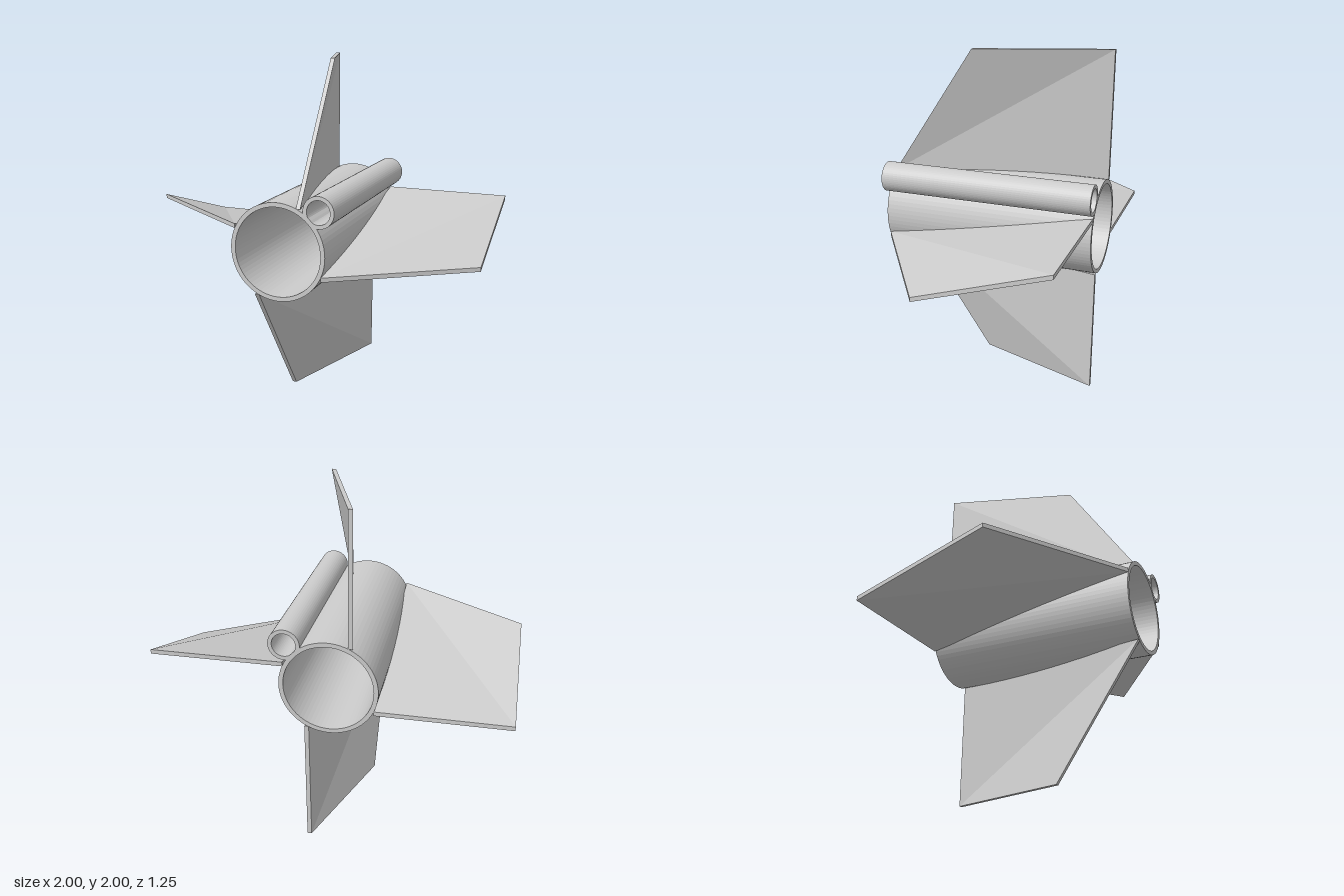
import * as THREE from 'three';

const material = new THREE.MeshStandardMaterial({ color: 0xcccccc, flatShading: true });
const HALF = 0.625; // half length of the body along z

// Open pipe with wall thickness, running along z
function makePipe(name, outer, inner, x, y, segments) {
  const profile = [[outer, -HALF], [outer, HALF], [inner, HALF], [inner, -HALF], [outer, -HALF]];
  const geometry = new THREE.LatheGeometry(profile.map(([r, h]) => new THREE.Vector2(r, h)), segments);
  geometry.rotateX(Math.PI / 2);
  const pipe = new THREE.Mesh(geometry, material);
  pipe.name = name;
  pipe.position.set(x, y, 0);
  return pipe;
}

// Slanted, slightly twisted fin plate pointing up from the tube axis
function makeFinGeometry() {
  const thickness = 0.025;
  // x, y, z of: root rear, tip rear, tip front, root front
  const corners = [
    [-0.137, 0.25, -HALF],
    [-0.137, 1, -HALF],
    [0.112, 1, 0.125],
    [0.112, 0.25, HALF],
  ];
  const positions = [];
  for (const offset of [thickness, 0]) {
    for (const [x, y, z] of corners) positions.push(x + offset, y, z);
  }
  // Both faces fold along the line from tip rear to root front
  const index = [0, 1, 3, 1, 2, 3, 4, 7, 5, 5, 7, 6];
  for (let i = 0; i < 4; i++) {
    const j = (i + 1) % 4;
    index.push(j, i, i + 4, j, i + 4, j + 4); // rim
  }
  const indexed = new THREE.BufferGeometry();
  indexed.setAttribute('position', new THREE.Float32BufferAttribute(positions, 3));
  indexed.setIndex(index);
  const geometry = indexed.toNonIndexed();
  geometry.computeVertexNormals();
  return geometry;
}

export function createModel() {
  const model = new THREE.Group();
  model.name = 'finnedTube';

  model.add(makePipe('bodyTube', 0.275, 0.25, 0, 1, 72));
  model.add(makePipe('guideTube', 0.088, 0.066, 0.238, 1.24, 48));

  // Four fins around the body
  const finGeometry = makeFinGeometry();
  ['topFin', 'rightFin', 'bottomFin', 'leftFin'].forEach((name, i) => {
    const fin = new THREE.Mesh(finGeometry, material);
    fin.name = name;
    fin.position.y = 1;
    fin.rotation.z = i * Math.PI / 2;
    model.add(fin);
  });

  return model;
}
